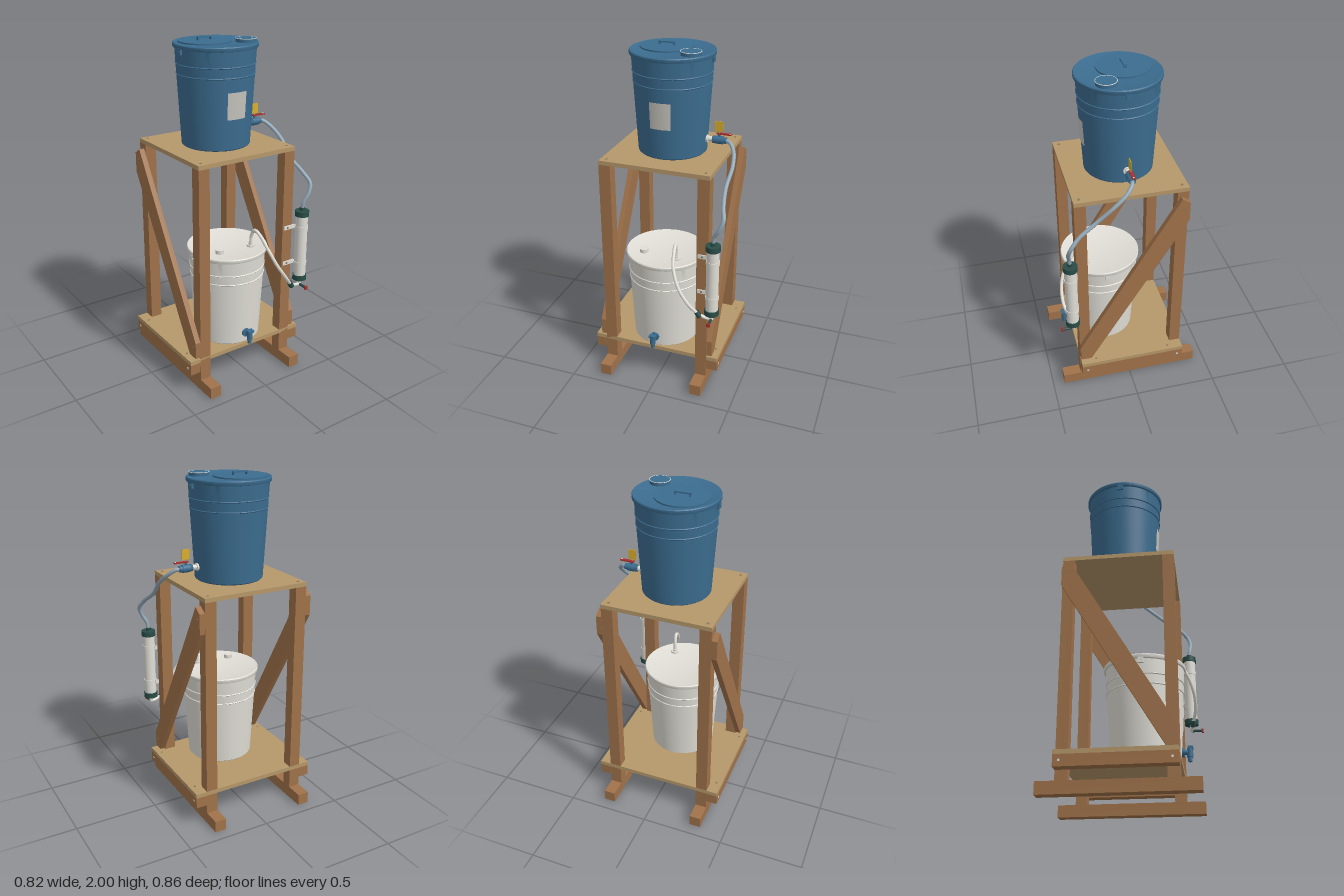
import * as THREE from 'three';
import { toCreasedNormals } from 'three/addons/utils/BufferGeometryUtils.js';

const mat = (name, color) => new THREE.MeshStandardMaterial({ name, color });

export function createModel() {
  const wood = mat('timber', 0xa0724a), ply = mat('plywood', 0xb6986a);
  const blue = mat('blue plastic', 0x3c6d90), white = mat('white plastic', 0xe0ded6);
  const hoseMat = mat('hose blue grey', 0x94a9b8), green = mat('dark green', 0x2a4d48);
  const red = mat('red', 0xa8302a), yellow = mat('yellow', 0xd9ae2b);
  const paper = mat('label grey', 0xc6c4bd), steel = mat('screw steel', 0x8b7a5c);
  const model = new THREE.Group();

  const add = (parent, name, geo, material, x = 0, y = 0, z = 0) => {
    const m = new THREE.Mesh(geo, material);
    m.name = name;
    m.position.set(x, y, z);
    parent.add(m);
    return m;
  };
  // box from its minimum and maximum corners
  const box = (parent, name, material, x0, x1, y0, y1, z0, z1) =>
    add(parent, name, new THREE.BoxGeometry(x1 - x0, y1 - y0, z1 - z0), material,
      (x0 + x1) / 2, (y0 + y1) / 2, (z0 + z1) / 2);
  // cylinder centred on a point along the chosen axis
  const cyl = (parent, name, material, r, len, x, y, z, axis = 'y', sides = 24) => {
    const m = add(parent, name, new THREE.CylinderGeometry(r, r, len, sides), material, x, y, z);
    if (axis === 'x') m.rotation.z = Math.PI / 2;
    if (axis === 'z') m.rotation.x = Math.PI / 2;
    return m;
  };
  const tube = (parent, name, material, r, pts) => add(parent, name, new THREE.TubeGeometry(
    new THREE.CatmullRomCurve3(pts.map(p => new THREE.Vector3(...p))), 72, r, 14), material);

  // ---- Timber stand ----
  const stand = new THREE.Group();
  stand.name = 'stand';
  model.add(stand);
  box(stand, 'upperShelf', ply, -0.345, 0.306, 1.37, 1.395, -0.326, 0.321);
  box(stand, 'lowerShelf', ply, -0.412, 0.373, 0.19, 0.215, -0.326, 0.321);
  const brace = new THREE.Shape([
    [0.32, 0.225], [0.32, 0.325], [-0.278, 1.342], [-0.325, 1.312], [-0.325, 1.195], [0.255, 0.225],
  ].map(([z, y]) => new THREE.Vector2(-z, y)));
  const braceGeo = new THREE.ExtrudeGeometry(brace, { depth: 0.032, bevelEnabled: false });
  for (const side of [-1, 1]) {
    const inX = side < 0 ? -0.345 : 0.306, legX = side < 0 ? -0.345 : 0.236;
    box(stand, 'footSkid', wood, legX, legX + 0.069, 0, 0.07, -0.43, 0.43);
    for (const z of [-0.325, 0.255])
      box(stand, 'leg', wood, legX, legX + 0.069, 0.07, 1.37, z, z + 0.066);
    const railX = side < 0 ? -0.412 : 0.306;
    box(stand, 'sideRail', wood, railX, railX + 0.067, 0.125, 0.19, -0.325, 0.32);
    const b = add(stand, 'diagonalBrace', braceGeo, wood, side < 0 ? inX - 0.032 : inX);
    b.rotation.y = Math.PI / 2;
    // screws in shelf, rail and brace
    for (const z of [-0.292, 0.287]) {
      cyl(stand, 'shelfScrew', steel, 0.008, 0.004, legX + 0.035, 1.395, z, 'y', 12);
      cyl(stand, 'railScrew', white, 0.007, 0.004, side < 0 ? -0.412 : 0.373, 0.158, z, 'x', 12);
      cyl(stand, 'braceScrew', steel, 0.007, 0.004, inX + side * 0.032, z < 0 ? 1.275 : 0.285, z, 'x', 12);
    }
    for (const z of [-0.237, 0.227])
      cyl(stand, 'lowerShelfScrew', steel, 0.006, 0.004, side < 0 ? -0.38 : 0.34, 0.215, z, 'y', 12);
  }

  // ---- Buckets ----
  const wall = h => 0.198 + 0.031 * h / 0.55;
  const profile = [[0, 0], [0.192, 0], [0.198, 0.006], [wall(0.405), 0.405], [wall(0.405) + 0.004, 0.409],
    [wall(0.413), 0.413], [wall(0.462), 0.462], [wall(0.466) + 0.004, 0.466], [wall(0.47), 0.47],
    [0.229, 0.552], [0.238, 0.554], [0.24, 0.558], [0.24, 0.574], [0.236, 0.579], [0.23, 0.577], [0, 0.577]];
  const bucketGeo = toCreasedNormals(new THREE.LatheGeometry(
    profile.map(([r, y]) => new THREE.Vector2(r, y)), 72), 0.6);
  const makeBucket = (name, material, y, z) => {
    const g = new THREE.Group();
    g.name = name;
    g.position.set(-0.02, y, z);
    model.add(g);
    add(g, 'bucketShell', bucketGeo, material);
    for (const s of [-1, 1]) {
      box(g, 'handleLug', material, s * 0.232 - 0.009, s * 0.232 + 0.009, 0.525, 0.558, -0.017, 0.017);
      cyl(g, 'lugPin', material, 0.005, 0.006, s * 0.242, 0.541, 0, 'x', 12);
    }
    return g;
  };
  // curved plate wrapped on the front wall
  const plate = (g, name, material, y0, y1, halfWidth) => {
    const a = Math.asin(halfWidth / 0.215);
    add(g, name, new THREE.CylinderGeometry(wall(y1) + 0.003, wall(y0) + 0.003, y1 - y0, 12, 1, true, -a, 2 * a),
      material, 0, (y0 + y1) / 2, 0);
  };

  const upper = makeBucket('upperBucket', blue, 1.395, -0.003);
  plate(upper, 'label', paper, 0.18, 0.332, 0.06);
  cyl(upper, 'lidHatch', blue, 0.152, 0.012, -0.047, 0.579, -0.04, 'y', 64);
  box(upper, 'hatchGrip', blue, -0.094, -0.002, 0.597, 0.605, -0.05, -0.031);
  for (const x of [-0.094, -0.01])
    box(upper, 'gripPost', blue, x, x + 0.008, 0.58, 0.6, -0.05, -0.031);
  cyl(upper, 'fillerCap', blue, 0.057, 0.024, 0.137, 0.586, 0.096, 'y', 40);
  const capRing = add(upper, 'capRing', new THREE.TorusGeometry(0.057, 0.002, 8, 48), white, 0.137, 0.597, 0.096);
  capRing.rotation.x = Math.PI / 2;

  const lower = makeBucket('lowerBucket', white, 0.215, 0.115);
  plate(lower, 'levelPanel', white, 0.19, 0.33, 0.053);
  cyl(lower, 'lidBung', white, 0.025, 0.024, -0.11, 0.588, 0.085, 'y', 28);
  cyl(lower, 'hoseGrommet', white, 0.024, 0.012, 0.1, 0.582, 0.105, 'y', 28);
  cyl(lower, 'hoseSocket', white, 0.014, 0.024, 0.1, 0.588, 0.105, 'y', 20);

  // ---- Dispensing tap on the lower bucket ----
  const tap = new THREE.Group();
  tap.name = 'tap';
  tap.position.set(-0.021, 0.285, 0.32);
  model.add(tap);
  cyl(tap, 'tapFlange', blue, 0.026, 0.014, 0, 0, 0.003, 'z');
  cyl(tap, 'tapBarrel', blue, 0.014, 0.05, 0, 0, 0.025, 'z');
  cyl(tap, 'tapBody', blue, 0.017, 0.05, 0, -0.003, 0.04);
  cyl(tap, 'tapSpout', blue, 0.012, 0.03, 0, -0.037, 0.04);
  box(tap, 'tapLever', blue, -0.02, 0.02, 0.02, 0.034, 0.028, 0.058);

  // ---- Outlet valve on the upper bucket ----
  const valve = new THREE.Group();
  valve.name = 'outletValve';
  valve.position.set(0, 1.478, -0.003);
  model.add(valve);
  cyl(valve, 'valveWasher', white, 0.022, 0.012, 0.186, 0, 0, 'x');
  cyl(valve, 'valveNipple', white, 0.015, 0.05, 0.205, 0, 0, 'x');
  cyl(valve, 'valveNut', blue, 0.021, 0.02, 0.228, 0, 0, 'x', 6);
  cyl(valve, 'valveBody', blue, 0.023, 0.045, 0.258, 0, 0, 'x');
  cyl(valve, 'valveEnd', blue, 0.018, 0.022, 0.288, 0, 0, 'x');
  cyl(valve, 'valveStem', blue, 0.008, 0.02, 0.256, 0.028, 0, 'y', 16);
  box(valve, 'valveLever', red, 0.243, 0.328, 0.034, 0.041, -0.01, 0.009);
  cyl(valve, 'leverEye', white, 0.005, 0.003, 0.32, 0.041, 0, 'y', 12);
  box(valve, 'warningTag', yellow, 0.231, 0.278, 0.05, 0.109, 0.001, 0.005);
  cyl(valve, 'tagTie', yellow, 0.0025, 0.02, 0.255, 0.045, 0.003, 'y', 8);

  // ---- Filter column ----
  const filter = new THREE.Group();
  filter.name = 'filter';
  filter.position.set(0.345, 0, 0.363);
  model.add(filter);
  cyl(filter, 'filterTube', white, 0.036, 0.42, 0, 0.785, 0, 'y', 40);
  for (const y of [0.577, 0.992])
    cyl(filter, 'filterCap', green, 0.042, 0.032, 0, y, 0, 'y', 40);
  cyl(filter, 'inletSocket', green, 0.015, 0.024, 0, 1.015, 0);
  for (const y of [0.67, 0.9]) {
    cyl(filter, 'clampBand', white, 0.039, 0.024, 0, y, 0, 'y', 40);
    box(filter, 'clampTab', white, -0.1, -0.02, y - 0.012, y + 0.012, -0.043, -0.036);
    cyl(filter, 'clampScrew', steel, 0.006, 0.005, -0.075, y, -0.036, 'z', 12);
  }
  // bottom tee with a small drain cock
  cyl(filter, 'outletStem', white, 0.012, 0.04, 0, 0.545, 0);
  cyl(filter, 'drainPipe', green, 0.008, 0.06, 0, 0.525, 0.033, 'z', 16);
  box(filter, 'drainHandle', red, -0.01, 0.01, 0.514, 0.535, 0.06, 0.071);
  tube(filter, 'outletArm', white, 0.01, [[0, 0.527, 0], [-0.03, 0.528, 0.003], [-0.075, 0.547, 0.011]]);
  const coupling = cyl(filter, 'hoseCoupling', green, 0.016, 0.038, -0.076, 0.547, 0.011);
  coupling.rotation.z = 0.6;

  // ---- Hoses ----
  tube(model, 'supplyHose', hoseMat, 0.0115, [
    [0.285, 1.478, -0.003], [0.315, 1.475, 0.003], [0.352, 1.44, 0.04], [0.371, 1.38, 0.115],
    [0.364, 1.29, 0.215], [0.382, 1.22, 0.315], [0.398, 1.165, 0.362], [0.378, 1.11, 0.375],
    [0.35, 1.06, 0.368], [0.345, 1.01, 0.363]]);
  tube(model, 'returnHose', white, 0.01, [
    [0.08, 0.8, 0.22], [0.08, 0.86, 0.225], [0.085, 0.902, 0.25], [0.093, 0.88, 0.295],
    [0.108, 0.81, 0.35], [0.15, 0.71, 0.388], [0.21, 0.62, 0.395], [0.268, 0.548, 0.375]]);

  return model;
}
